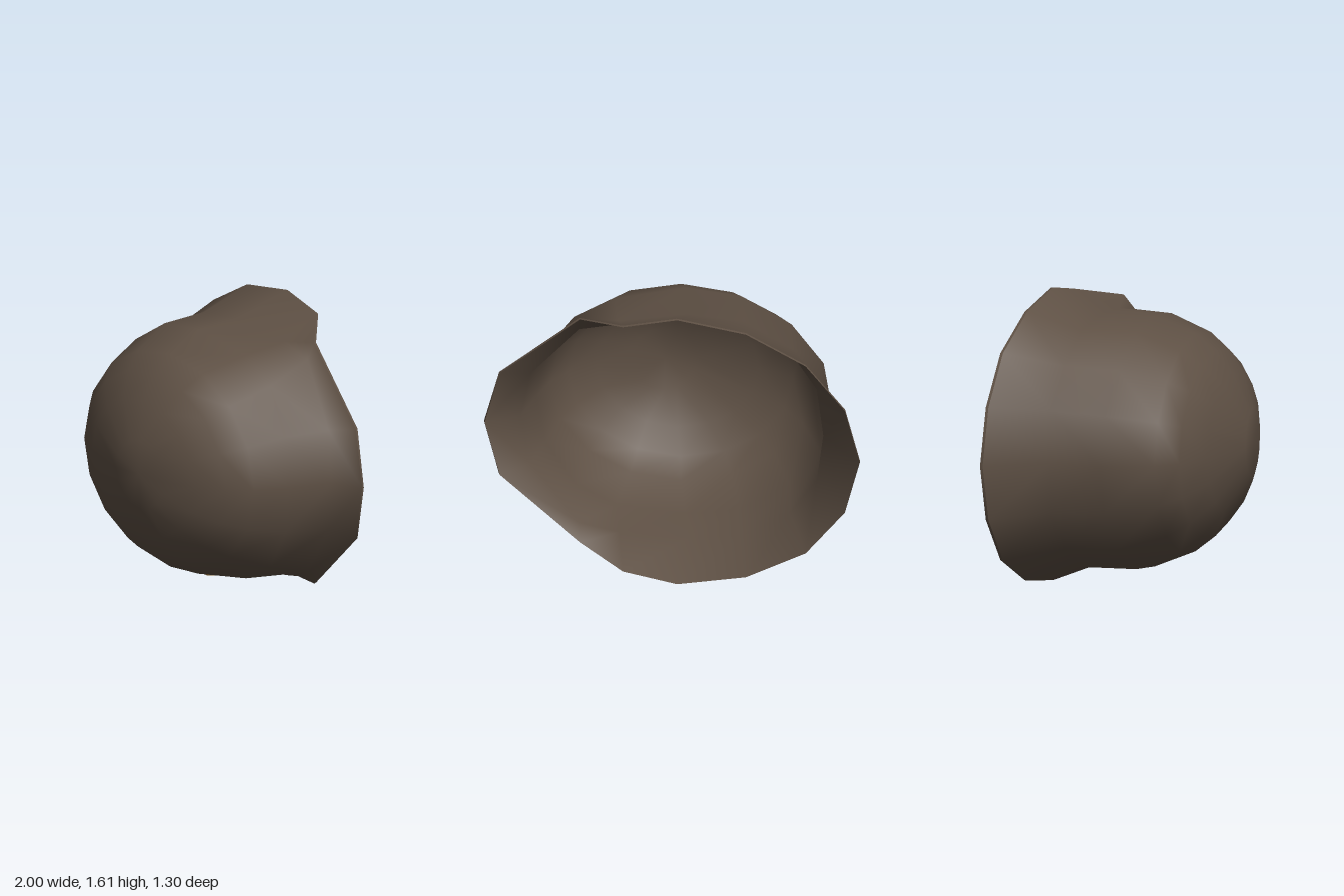
import * as THREE from 'three';

const CY = 0.81; // height of the mirror plane
const HALF = 8;  // steps around half a ring
const N = HALF * 2;

// Half rings as [x, offset from mirror plane, z], from the brim (+x) to the nape (-x)
const RIM = [[1, 0, -0.045], [0.92, 0.31, -0.075], [0.49, 0.68, -0.18], [0.27, 0.745, -0.41], [-0.02, 0.805, -0.46],
  [-0.39, 0.74, -0.525], [-0.71, 0.57, -0.59], [-0.92, 0.31, -0.625], [-1, 0, -0.64]];
const CREASE = [[0.82, 0, 0.01], [0.765, 0.28, -0.02], [0.5, 0.6, -0.12], [0.28, 0.645, -0.16], [-0.1, 0.685, -0.18],
  [-0.4, 0.65, -0.22], [-0.655, 0.5, -0.26], [-0.8, 0.28, -0.3], [-0.835, 0, -0.31]];
const WIDEST = [[0.72, 0, 0.24], [0.67, 0.27, 0.21], [0.5, 0.51, 0.16], [0.28, 0.63, 0.13], [-0.1, 0.69, 0.12],
  [-0.4, 0.65, 0.08], [-0.67, 0.49, 0.04], [-0.84, 0.27, 0], [-0.885, 0, -0.02]];

// Tilted elliptical half ring for the dome
function domeRing(x0, z0, x1, z1, ry) {
  return Array.from({ length: HALF + 1 }, (_, k) => {
    const c = Math.cos((k / HALF) * Math.PI);
    const s = Math.sin((k / HALF) * Math.PI);
    const t = (1 - c) / 2;
    return [x0 + (x1 - x0) * t, ry * s, z0 + (z1 - z0) * t];
  });
}

const RINGS = [
  RIM, CREASE, WIDEST,
  domeRing(0.63, 0.41, -0.81, 0.27, 0.6),
  domeRing(0.52, 0.52, -0.71, 0.385, 0.51),
  domeRing(0.36, 0.6, -0.53, 0.5, 0.38),
  domeRing(0.17, 0.64, -0.2, 0.64, 0.19),
  domeRing(-0.02, 0.645, -0.02, 0.645, 0), // pole
];

// Mirrors a half ring into a closed one
function fullRing(half) {
  const ring = [];
  for (let i = 0; i < N; i++) {
    const [x, d, z] = half[i <= HALF ? i : N - i];
    ring.push([x, CY + (i <= HALF ? d : -d), z]);
  }
  return ring;
}

// Skins a list of rings; flip turns the surface inside out
function skin(rings, flip) {
  const positions = rings.flat(2);
  const index = [];
  const add = (a, b, c) => index.push(a, flip ? c : b, flip ? b : c);
  for (let r = 0; r < rings.length - 1; r++) {
    const last = r === rings.length - 2 && rings.length > 2;
    for (let i = 0; i < N; i++) {
      const j = (i + 1) % N;
      const a = r * N + i, b = r * N + j;
      const c = (r + 1) * N + j, d = (r + 1) * N + i;
      if (last) add(a, b, (r + 1) * N); // fan to the shared pole
      else {
        // mirror the diagonal so both halves match
        if (i < HALF) { add(a, b, c); add(a, c, d); }
        else { add(a, b, d); add(b, c, d); }
      }
    }
  }
  const geo = new THREE.BufferGeometry();
  geo.setAttribute('position', new THREE.Float32BufferAttribute(positions, 3));
  geo.setIndex(index);
  geo.computeVertexNormals();
  return geo;
}

export function createModel() {
  const group = new THREE.Group();
  group.name = 'helmet';
  const leather = new THREE.MeshStandardMaterial({ color: 0x5e5044 });
  leather.name = 'dark brown';
  const brass = new THREE.MeshStandardMaterial({ color: 0x9a6e2e });
  brass.name = 'brass';

  const add = (name, geo, mat) => {
    const mesh = new THREE.Mesh(geo, mat);
    mesh.name = name;
    group.add(mesh);
    return mesh;
  };

  // Outer dome with its flared brim, and the lining set slightly inside it
  const outer = RINGS.map(fullRing);
  const inner = outer.map((ring, r) => {
    const s = r === 0 ? 0.997 : 0.98;
    return ring.map(([x, y, z]) => [-0.05 + (x + 0.05) * s, CY + (y - CY) * s, z - 0.015]);
  });
  add('outerShell', skin(outer, false), leather);
  add('lining', skin(inner, true), leather);
  add('rimEdge', skin([outer[0], inner[0]], true), leather);

  // Small round plate on the lower side
  const plate = add('sidePlate', new THREE.CylinderGeometry(0.11, 0.11, 0.008, 8), brass);
  plate.position.set(-0.03, 0.129, 0.01);
  plate.rotation.z = 0.13;

  return group;
}
